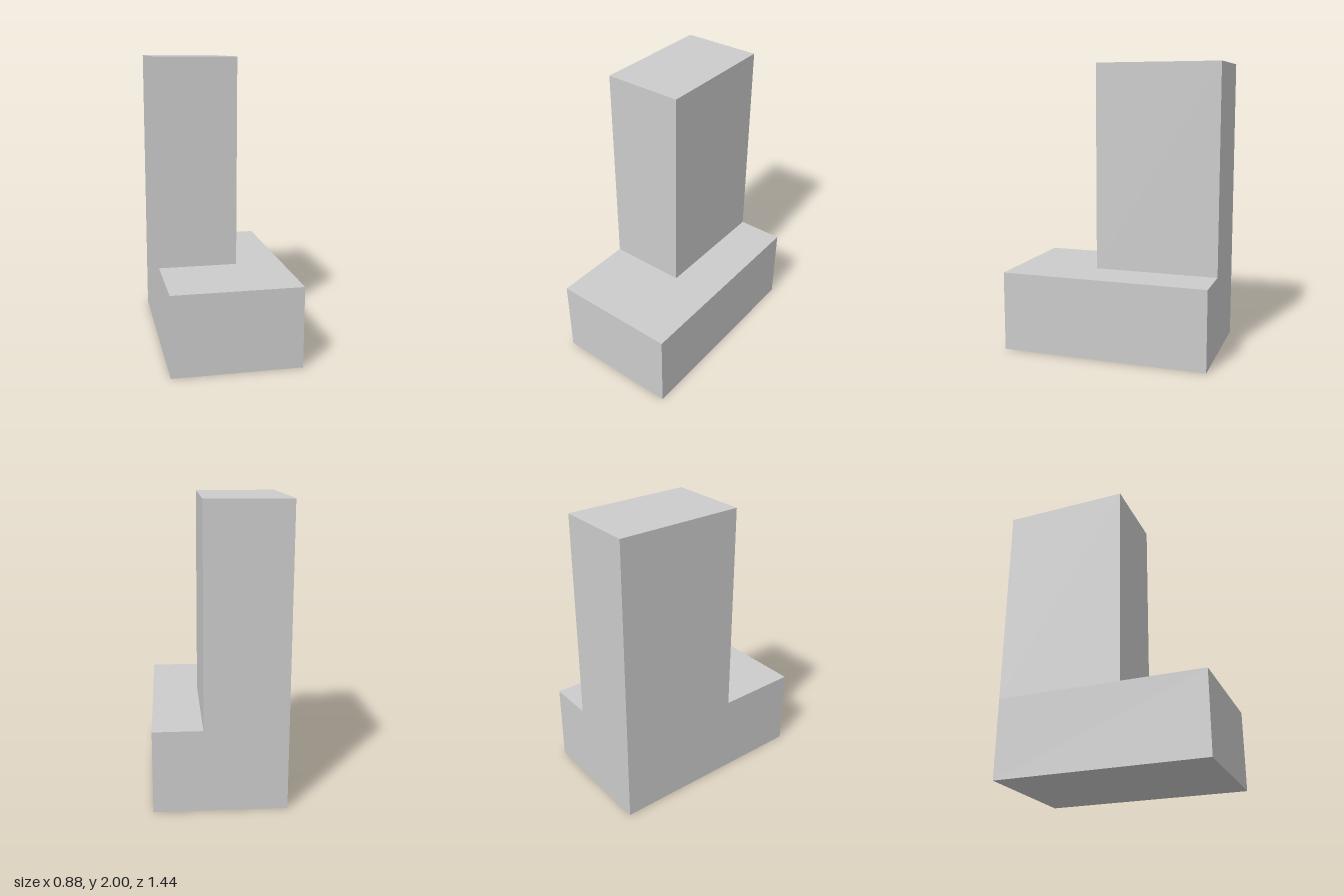
import * as THREE from 'three';

const material = new THREE.MeshStandardMaterial({ color: 0xcccccc, flatShading: true });

// Box given by its lowest and highest corners
function block(name, [x0, y0, z0], [x1, y1, z1]) {
  const mesh = new THREE.Mesh(new THREE.BoxGeometry(x1 - x0, y1 - y0, z1 - z0), material);
  mesh.position.set((x0 + x1) / 2, (y0 + y1) / 2, (z0 + z1) / 2);
  mesh.name = name;
  return mesh;
}

export function createModel() {
  const group = new THREE.Group();
  group.name = 'towerBlock';

  const right = -0.438, back = -0.722, baseTop = 0.555;

  // Low, wide base
  group.add(block('base', [right, 0, back], [-right, baseTop, -back]));

  // Tall tower, flush with the base at the back right corner
  group.add(block('tower', [right, baseTop, back], [0.112, 2, 0.15]));

  return group;
}
